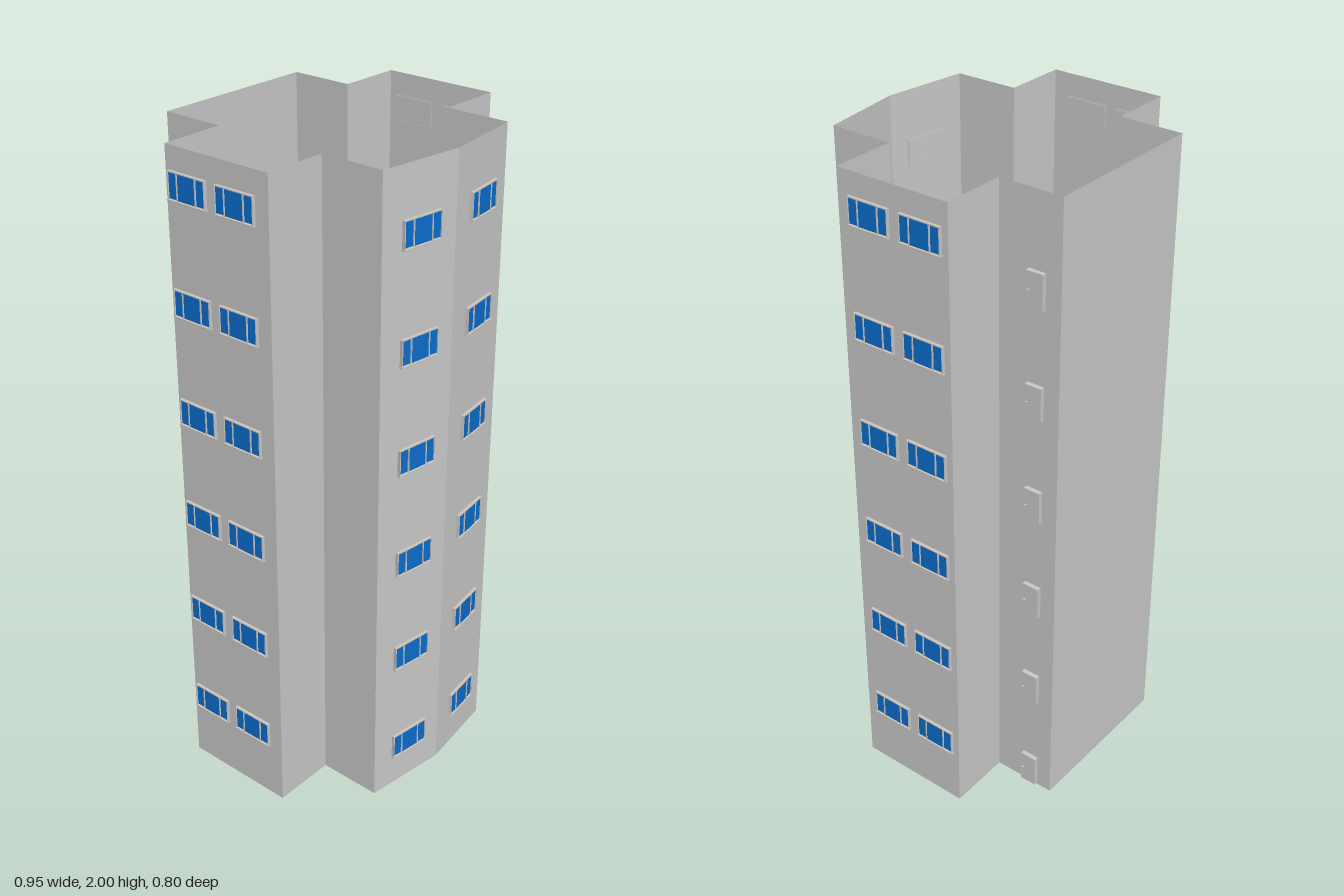
import * as THREE from 'three';

const FLOORS = 6, PITCH = 1 / 3, HEIGHT = 2;

const grey = new THREE.MeshStandardMaterial({ color: 0xcccccc });
const wallMat = new THREE.MeshStandardMaterial({ color: 0xcccccc, side: THREE.DoubleSide, flatShading: true });
const blue = new THREE.MeshStandardMaterial({ color: 0x0b6fd0 });
const trim = new THREE.MeshStandardMaterial({ color: 0xcfc6bc });

function box(parent, name, mat, w, h, d, x, y, z) {
  const mesh = new THREE.Mesh(new THREE.BoxGeometry(w, h, d), mat);
  mesh.name = name;
  mesh.position.set(x, y, z);
  parent.add(mesh);
  return mesh;
}

// Open shell: each outline segment becomes one upright wall panel
function walls() {
  const half = [[0, 0.4], [0.265, 0.365], [0.265, 0.165], [0.465, 0.165],
    [0.465, -0.2], [0.265, -0.2], [0.265, -0.4]];
  const outline = [...half, ...half.slice(1).reverse().map(([x, z]) => [-x, z])];
  const pos = [];
  outline.forEach(([ax, az], i) => {
    const [bx, bz] = outline[(i + 1) % outline.length];
    pos.push(ax, 0, az, bx, 0, bz, bx, HEIGHT, bz,
      ax, 0, az, bx, HEIGHT, bz, ax, HEIGHT, az);
  });
  const geo = new THREE.BufferGeometry();
  geo.setAttribute('position', new THREE.Float32BufferAttribute(pos, 3));
  geo.computeVertexNormals();
  const mesh = new THREE.Mesh(geo, wallMat);
  mesh.name = 'outerWalls';
  return mesh;
}

// Three-light window facing +z, centred on its own origin at the wall plane
function makeWindow() {
  const g = new THREE.Group();
  g.name = 'window';
  box(g, 'windowFrame', grey, 0.132, 0.074, 0.008, 0, 0, 0.001);
  box(g, 'centrePane', blue, 0.062, 0.072, 0.004, 0, 0, 0.006);
  for (const s of [-1, 1]) {
    box(g, 'sidePane', blue, 0.028, 0.07, 0.004, s * 0.05, 0, 0.005);
    box(g, 'mullion', grey, 0.003, 0.076, 0.01, s * 0.0335, 0, 0.005);
    box(g, 'jamb', grey, 0.003, 0.078, 0.012, s * 0.0665, 0, 0.004);
  }
  box(g, 'sill', trim, 0.14, 0.004, 0.014, 0, -0.04, 0.005);
  box(g, 'lintel', trim, 0.136, 0.003, 0.012, 0, 0.039, 0.004);
  return g;
}

// Door with handle facing +z, standing on its own origin
function makeDoor() {
  const g = new THREE.Group();
  g.name = 'door';
  box(g, 'doorLeaf', grey, 0.054, 0.104, 0.014, 0, 0.052, 0.007);
  box(g, 'doorHandle', grey, 0.008, 0.003, 0.005, -0.019, 0.051, 0.0165);
  return g;
}

export function createModel() {
  const model = new THREE.Group();
  model.name = 'apartmentTower';
  model.add(walls());

  // Fittings per storey: maker, x, y on the ground storey, z, facing angle
  const tilt = Math.atan2(0.035, 0.265), q = Math.PI / 2;
  const fittings = [
    [makeWindow, -0.127, 0.145, 0.383, -tilt],
    [makeWindow, 0.14, 0.152, 0.3815, tilt],
    [makeWindow, 0.465, 0.225, 0.06, q],
    [makeWindow, 0.465, 0.225, -0.112, q],
    [makeWindow, -0.465, 0.225, 0.051, -q],
    [makeWindow, -0.465, 0.225, -0.12, -q],
    [makeDoor, 0.267, 0.01, -0.325, q],
    [makeDoor, -0.267, 0.01, -0.325, -q],
  ];
  for (let i = 0; i < FLOORS; i++) {
    const storey = new THREE.Group();
    storey.name = 'storey' + (i + 1);
    storey.position.y = i * PITCH;
    for (const [make, x, y, z, angle] of fittings) {
      const part = make();
      part.position.set(x, y, z);
      part.rotation.y = angle;
      storey.add(part);
    }
    model.add(storey);
  }
  return model;
}
